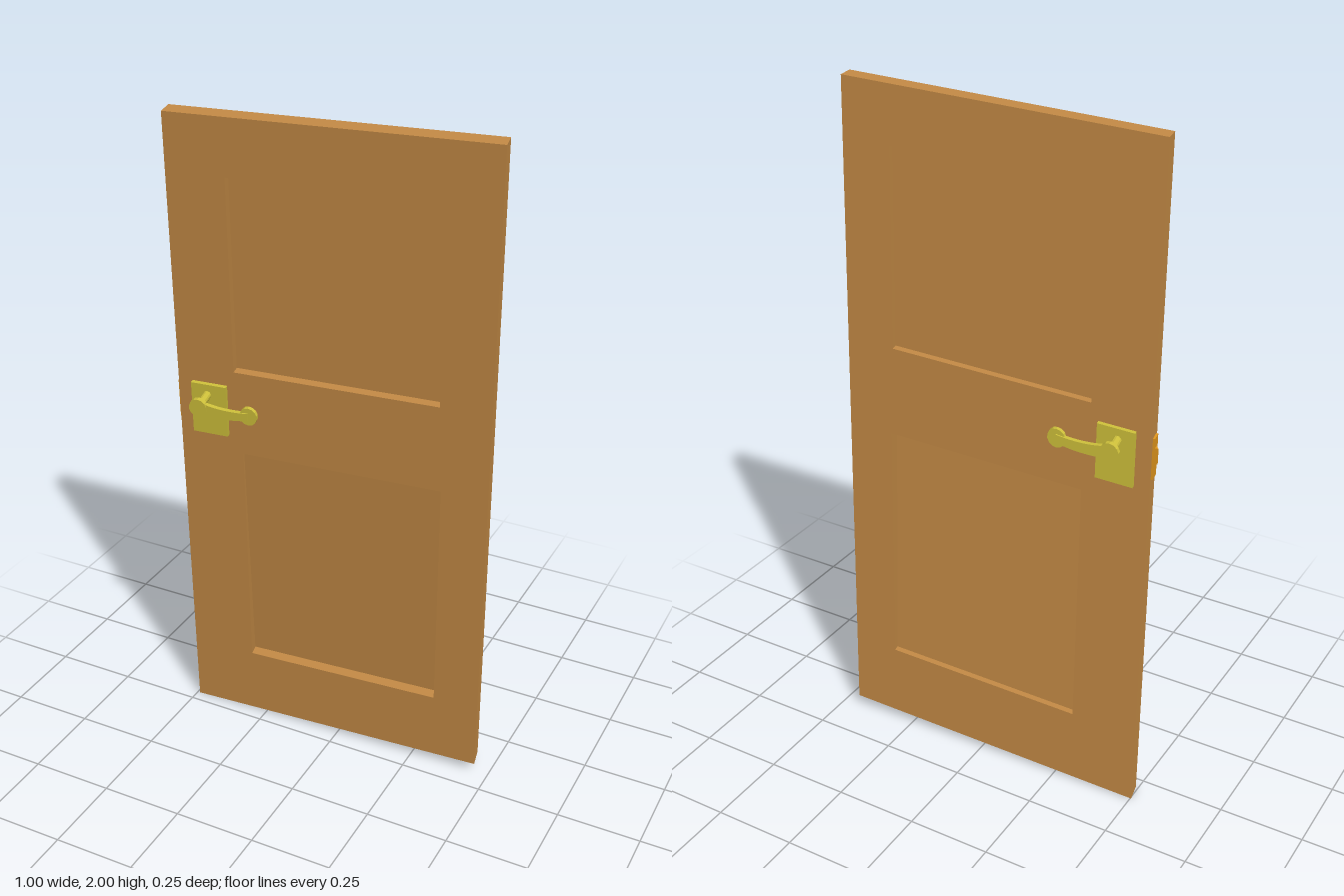
import * as THREE from 'three';

const WIDTH = 0.95, HEIGHT = 1.964, THICK = 0.057;

export function createModel() {
  const model = new THREE.Group();
  model.name = 'door';

  const mat = (color) => new THREE.MeshStandardMaterial({ color, flatShading: true, side: THREE.DoubleSide });
  const wood = mat(0xc68c46), brass = mat(0xd2c43c), orange = mat(0xe69a1e);

  // The whole door leans and is slightly skewed, so every part is sheared by one matrix
  const skew = new THREE.Matrix4().makeBasis(
    new THREE.Vector3(1, 0.035, -0.032),
    new THREE.Vector3(0.017, 1, 0.0535),
    new THREE.Vector3(0.21, -0.03, 1)
  ).setPosition(-0.006, 1.004, -0.0255);

  function add(parent, name, geometry, material) {
    const mesh = new THREE.Mesh(geometry.applyMatrix4(skew), material);
    mesh.name = name;
    parent.add(mesh);
    return mesh;
  }
  function extrude(shape, depth) {
    return new THREE.ExtrudeGeometry(shape, { depth, bevelEnabled: false }).translate(0, 0, -depth / 2);
  }
  function rect(target, x, y, w, h) {
    target.moveTo(x - w / 2, y - h / 2);
    target.lineTo(x + w / 2, y - h / 2);
    target.lineTo(x + w / 2, y + h / 2);
    target.lineTo(x - w / 2, y + h / 2);
    target.closePath();
    return target;
  }

  // Frame with two panel openings
  const panels = [
    { name: 'upperPanel', x: 0.016, y: 0.527, w: 0.622, h: 0.58, z: -0.003, tilt: 0 },
    { name: 'lowerPanel', x: 0.031, y: -0.395, w: 0.612, h: 0.735, z: 0.0055, tilt: 0.035 },
  ];
  const outline = rect(new THREE.Shape(), 0, 0, WIDTH, HEIGHT);
  for (const p of panels) outline.holes.push(rect(new THREE.Path(), p.x, p.y, p.w, p.h));
  add(model, 'doorFrame', extrude(outline, THICK), wood);

  // Thin recessed panels, the lower one slightly tilted
  for (const p of panels) {
    const g = new THREE.BoxGeometry(p.w, p.h, 0.004).rotateX(p.tilt).translate(p.x, p.y, p.z);
    add(model, p.name, g, wood);
  }

  // Handle set on each side: plate, spindle, round boss, curved arm and end disc
  const bossX = -0.379, bossY = 0.157, tipX = -0.222, tipY = 0.154;
  for (const [side, s] of [['front', 1], ['back', -1]]) {
    const handle = new THREE.Group();
    handle.name = side + 'Handle';
    model.add(handle);
    const face = s * THICK / 2;
    const disc = (r, depth, x, y, z) =>
      new THREE.CylinderGeometry(r, r, depth, 14).rotateX(Math.PI / 2).translate(x, y, z);

    add(handle, 'plate', new THREE.BoxGeometry(0.112, 0.16, 0.014).translate(-0.374, 0.11, face + s * 0.007), brass);
    add(handle, 'spindle', disc(0.013, 0.085, bossX, bossY, face + s * 0.0425), brass);
    add(handle, 'boss', disc(0.028, 0.015, bossX, bossY, face + s * 0.088), brass);
    add(handle, 'tipDisc', disc(0.027, 0.013, tipX, tipY, face + s * 0.082), brass);

    const arm = new THREE.Shape();
    arm.moveTo(bossX, bossY + 0.02);
    arm.quadraticCurveTo(-0.31, 0.156, tipX, tipY + 0.012);
    arm.lineTo(tipX, tipY - 0.01);
    arm.quadraticCurveTo(-0.28, 0.128, bossX, bossY - 0.018);
    arm.closePath();
    add(handle, 'arm', extrude(arm, 0.014).translate(0, 0, face + s * 0.086), brass);
  }

  // Latch on the opening edge: strike plate and wedge bolt
  const latch = new THREE.Group();
  latch.name = 'latch';
  model.add(latch);
  const edge = -WIDTH / 2;
  add(latch, 'latchPlate', new THREE.BoxGeometry(0.012, 0.12, 0.036).translate(edge, 0.117, 0), orange);
  const bolt = new THREE.Shape();
  bolt.moveTo(edge, -0.011);
  bolt.lineTo(edge, 0.011);
  bolt.lineTo(edge - 0.004, 0.011);
  bolt.lineTo(edge - 0.016, -0.011);
  bolt.closePath();
  add(latch, 'latchBolt', extrude(bolt, 0.045).rotateX(Math.PI / 2).translate(0, 0.125, 0), orange);

  return model;
}
